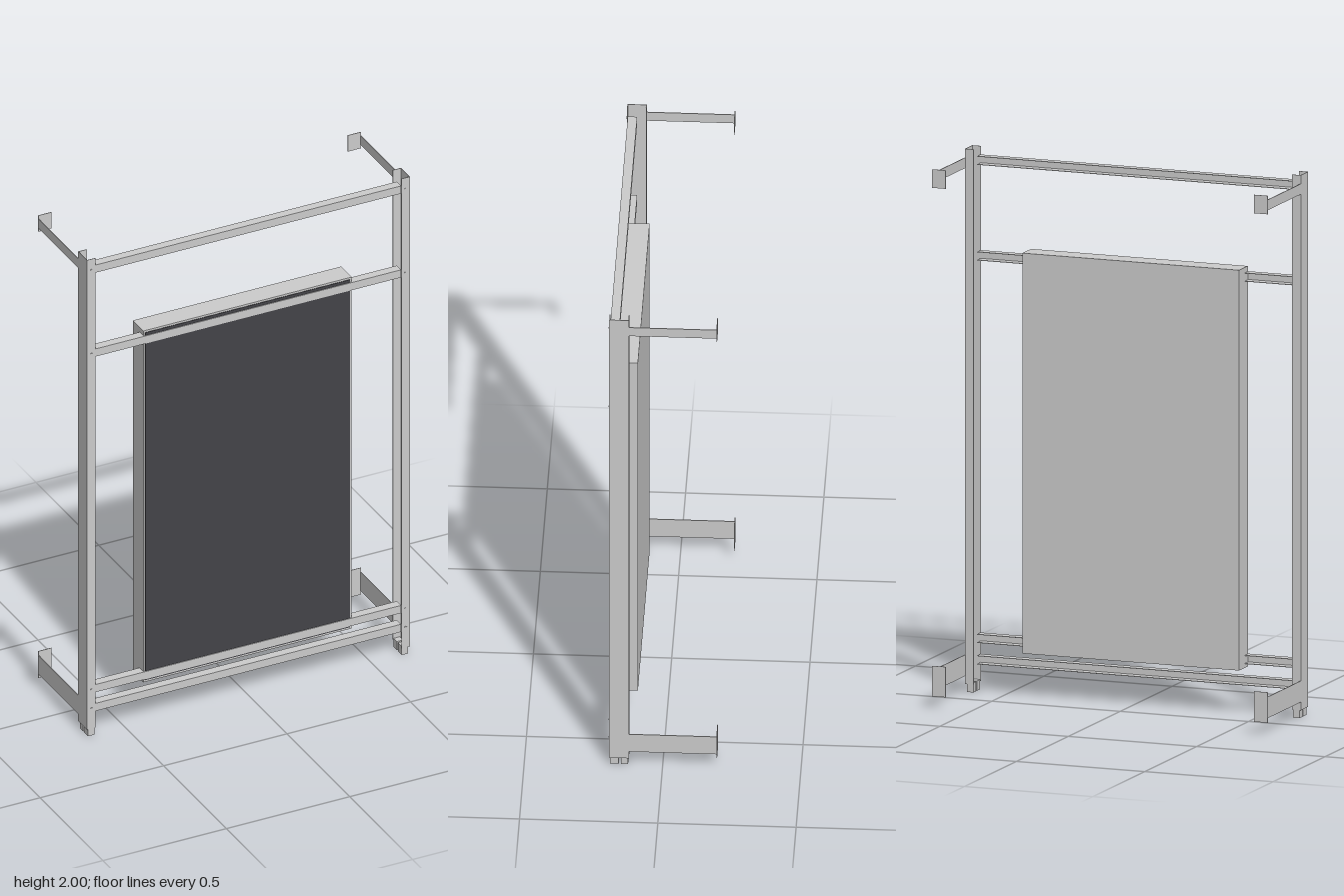
import * as THREE from 'three';

const grey = new THREE.MeshStandardMaterial({ color: 0xcccccc });
const dark = new THREE.MeshStandardMaterial({ color: 0x434348 });

// Box given by its minimum and maximum corners
function box(name, [x0, y0, z0], [x1, y1, z1], material = grey) {
  const mesh = new THREE.Mesh(new THREE.BoxGeometry(x1 - x0, y1 - y0, z1 - z0), material);
  mesh.position.set((x0 + x1) / 2, (y0 + y1) / 2, (z0 + z1) / 2);
  mesh.name = name;
  return mesh;
}

// Thin-walled C-channel with its web on the +u side, extruded along the third axis
function channel(u0, u1, v0, v1, wall, length) {
  const points = [
    [u0, v0], [u1, v0], [u1, v1], [u0, v1],
    [u0, v1 - wall], [u1 - wall, v1 - wall], [u1 - wall, v0 + wall], [u0, v0 + wall],
  ];
  const shape = new THREE.Shape(points.map(([u, v]) => new THREE.Vector2(u, v)));
  return new THREE.ExtrudeGeometry(shape, { depth: length, bevelEnabled: false });
}

// Upright: channel open towards the middle of the stand
function upright() {
  const geometry = channel(0.62, 0.654, -0.193, -0.122, 0.002, 1.97);
  geometry.rotateX(-Math.PI / 2);
  const mesh = new THREE.Mesh(geometry, grey);
  mesh.position.y = 0.03;
  mesh.name = 'upright';
  return mesh;
}

// Cross rail: channel open to the back
function rail(name, y) {
  const geometry = channel(0.156, 0.19, 0, 0.032, 0.002, 1.24);
  geometry.translate(0, 0, -0.62).rotateY(-Math.PI / 2);
  const mesh = new THREE.Mesh(geometry, grey);
  mesh.position.y = y;
  mesh.name = name;
  return mesh;
}

// Wall bracket: thin arm running back to an inward-turned end plate
function bracket(name, armLow, armHigh, plateLow, plateHigh) {
  const group = new THREE.Group();
  group.name = name;
  group.add(
    box('bracketArm', [0.651, armLow, -0.195], [0.654, armHigh, 0.122]),
    box('bracketPlate', [0.6, plateLow, -0.197], [0.654, plateHigh, -0.195]),
  );
  return group;
}

const railHeights = { topRail: 1.937, upperPanelRail: 1.585, lowerPanelRail: 0.177, bottomRail: 0.098 };

// One side of the stand; side is +1 for left, -1 for right
function sideFrame(side) {
  const group = new THREE.Group();
  group.name = side > 0 ? 'leftSide' : 'rightSide';
  group.add(upright());
  group.add(box('frontFoot', [0.622, 0, 0.159], [0.648, 0.036, 0.19]));
  group.add(box('rearFoot', [0.622, 0, 0.125], [0.648, 0.036, 0.151]));
  group.add(bracket('upperBracket', 1.93, 1.968, 1.915, 1.983));
  group.add(bracket('lowerBracket', 0.06, 0.138, 0.043, 0.155));

  // Bolt heads where the rails meet the upright
  for (const y of Object.values(railHeights)) {
    const bolt = new THREE.Mesh(new THREE.CylinderGeometry(0.005, 0.005, 0.003, 12), grey);
    bolt.rotation.x = Math.PI / 2;
    bolt.position.set(0.636, y + 0.016, 0.194);
    bolt.name = 'bolt';
    group.add(bolt);
  }
  group.scale.x = side;
  return group;
}

export function createModel() {
  const model = new THREE.Group();
  model.name = 'panelStand';
  model.add(sideFrame(1), sideFrame(-1));
  for (const [name, y] of Object.entries(railHeights)) model.add(rail(name, y));

  // Panel body, set into the rails, with its dark front
  model.add(box('panelBody', [-0.422, 0.163, 0.101], [0.422, 1.637, 0.185]));
  model.add(box('screen', [-0.415, 0.171, 0.18], [0.415, 1.629, 0.187], dark));
  return model;
}
